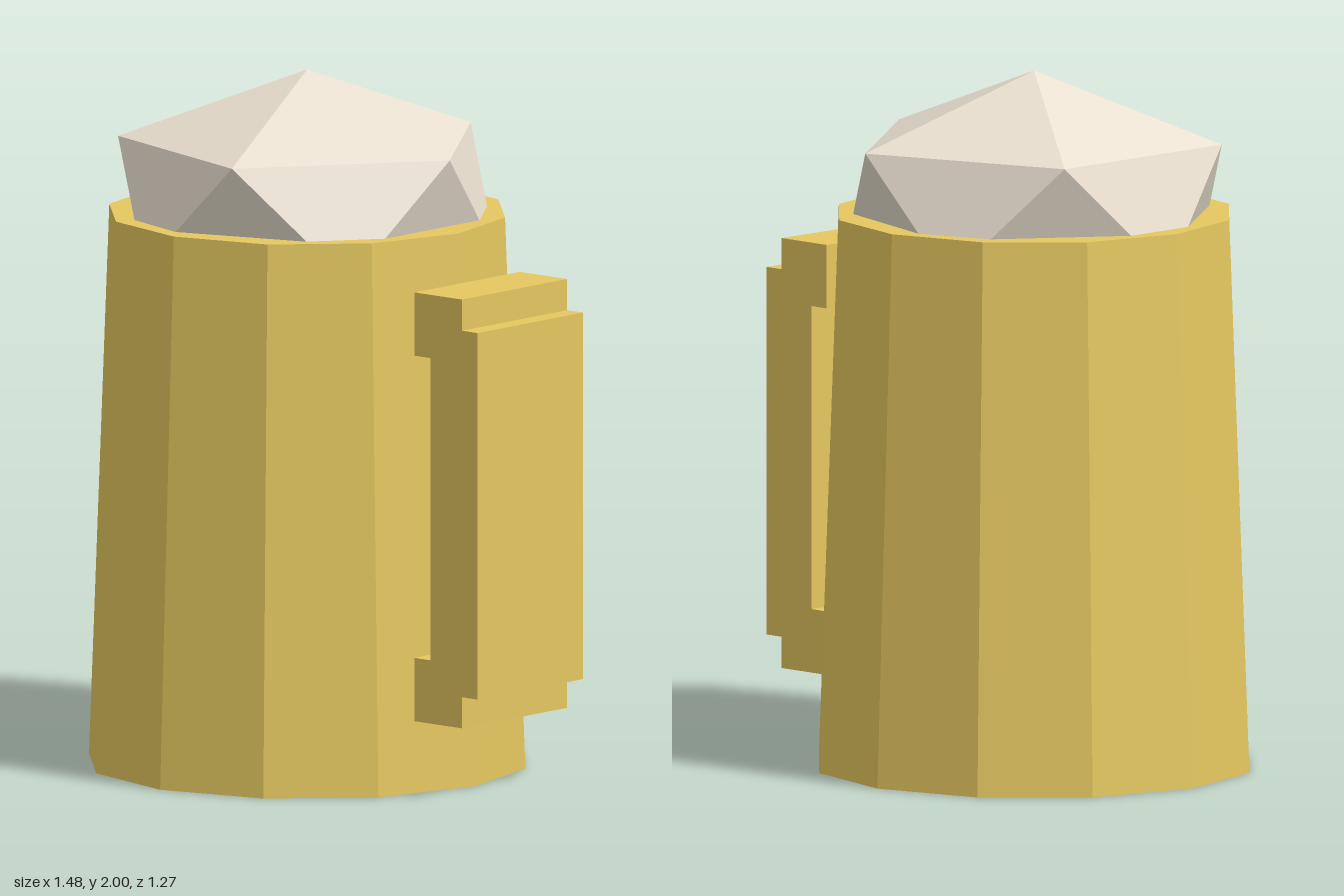
import * as THREE from 'three';

const CENTRE_X = -0.107;

export function createModel() {
  const model = new THREE.Group();
  const gold = new THREE.MeshStandardMaterial({ color: 0xe5c860, flatShading: true });
  const cream = new THREE.MeshStandardMaterial({ color: 0xeae0d0, flatShading: true });

  const add = (name, geometry, material) => {
    const mesh = new THREE.Mesh(geometry, material);
    mesh.name = name;
    model.add(mesh);
    return mesh;
  };

  // Tapered twelve-sided mug, closed at both ends
  const height = 1.592;
  add('mugBody', new THREE.CylinderGeometry(0.575, 0.634, height, 12), gold)
    .position.set(CENTRE_X, height / 2, 0);

  // Foam: flattened icosahedron turned to stand on a point, sunk into the mug
  const foam = new THREE.IcosahedronGeometry(0.605, 0);
  foam.rotateX(-Math.atan((1 + Math.sqrt(5)) / 2));
  foam.rotateY(Math.PI / 2);
  foam.scale(1, 0.6, 1);
  add('foam', foam, cream).position.set(CENTRE_X, 2 - 0.605 * 0.6, 0);

  // Stepped C-shaped handle: upper half of the outline, mirrored for the lower half
  const midY = 0.835;
  const half = [[0.5, 0.437], [0.5, 0.62], [0.68, 0.62], [0.68, 0.53], [0.74, 0.53]];
  const upper = [[0.56, 0.437], ...half];
  const lower = upper.map(([x, y]) => [x, -y]).reverse();
  const outline = [...upper, ...lower].map(([x, y]) => new THREE.Vector2(x, midY + y));
  const width = 0.454;
  add('handle', new THREE.ExtrudeGeometry(new THREE.Shape(outline), { depth: width, bevelEnabled: false }), gold)
    .position.z = -width / 2;

  return model;
}
